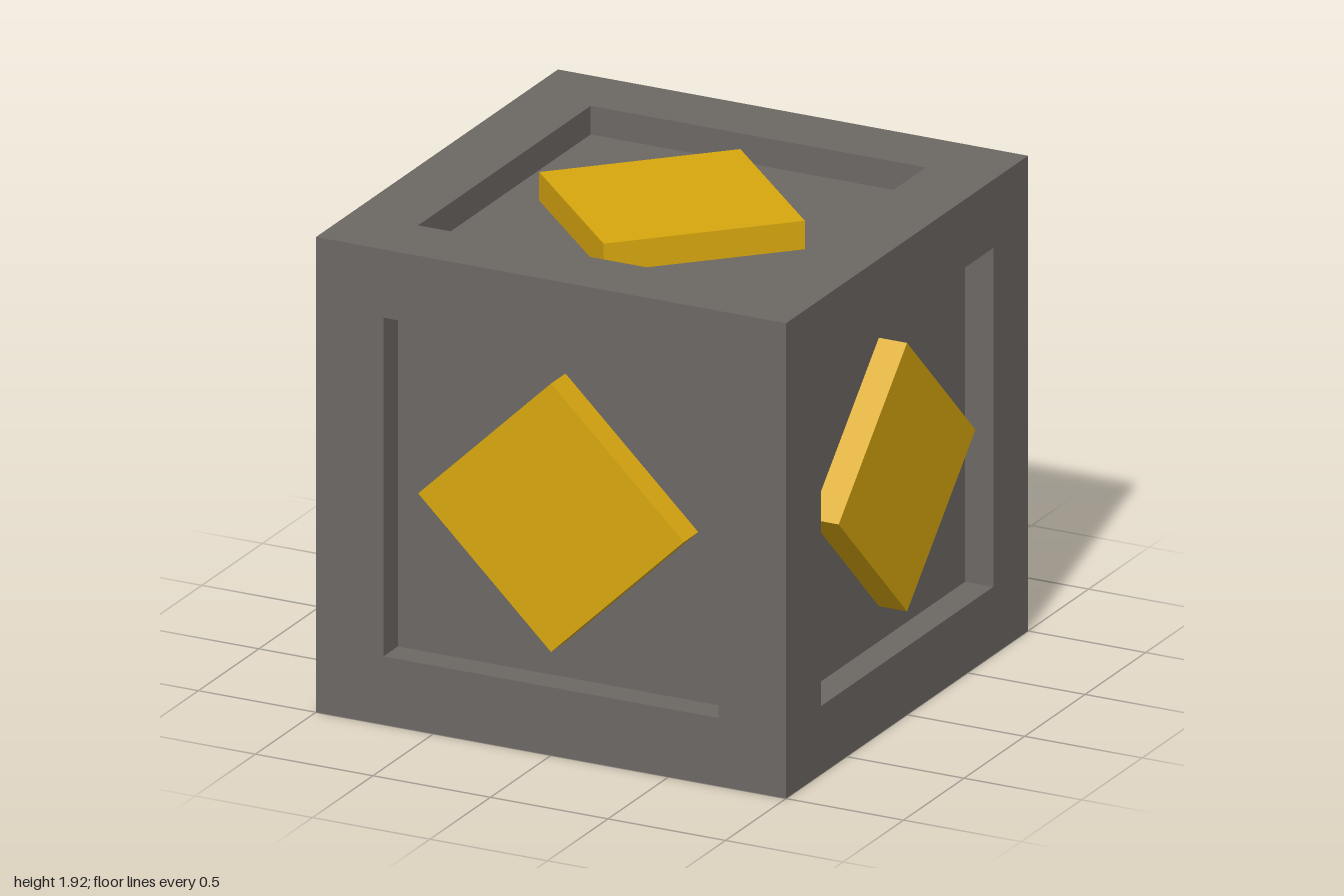
import * as THREE from 'three';

const DEPTH = 0.12;      // recess depth
const OPENING = 0.713;   // half width of the recess
const TIP = 0.565;       // half diagonal of the diamond
const HEIGHT = 1.924;    // block is slightly lower than wide

function flat(geometry) {
  const g = geometry.toNonIndexed();
  g.computeVertexNormals();
  return g;
}

export function createModel() {
  const stone = new THREE.MeshStandardMaterial({ color: 0x6c6864 });
  stone.name = 'dark grey';
  const gold = new THREE.MeshStandardMaterial({ color: 0xd8a70f });
  gold.name = 'gold';

  // Four-sided profile: rim, recess wall and recess floor of one side
  const profile = [[1, 1], [OPENING, 1], [OPENING, 1 - DEPTH], [0, 1 - DEPTH]]
    .map(([half, h]) => new THREE.Vector2(half * Math.SQRT2, h));
  const panelGeometry = flat(new THREE.LatheGeometry(profile, 4).rotateY(Math.PI / 4));

  // Diamond block standing on the recess floor, flush with the rim
  const diamondGeometry = flat(new THREE.CylinderGeometry(TIP, TIP, DEPTH, 4));
  diamondGeometry.translate(0, 1 - DEPTH / 2, 0);

  const block = new THREE.Group();
  block.name = 'block';
  block.scale.y = HEIGHT / 2;
  block.position.y = HEIGHT / 2;

  const q = Math.PI / 2;
  const sides = {
    top: [0, 0], bottom: [Math.PI, 0],
    front: [q, 0], back: [-q, 0],
    left: [0, -q], right: [0, q],
  };
  for (const [name, [rx, rz]] of Object.entries(sides)) {
    const side = new THREE.Group();
    side.name = name + 'Side';
    side.rotation.set(rx, 0, rz);
    const panel = new THREE.Mesh(panelGeometry, stone);
    panel.name = name + 'Panel';
    const diamond = new THREE.Mesh(diamondGeometry, gold);
    diamond.name = name + 'Diamond';
    side.add(panel, diamond);
    block.add(side);
  }

  const model = new THREE.Group();
  model.name = 'ornamentBlock';
  model.add(block);
  return model;
}
